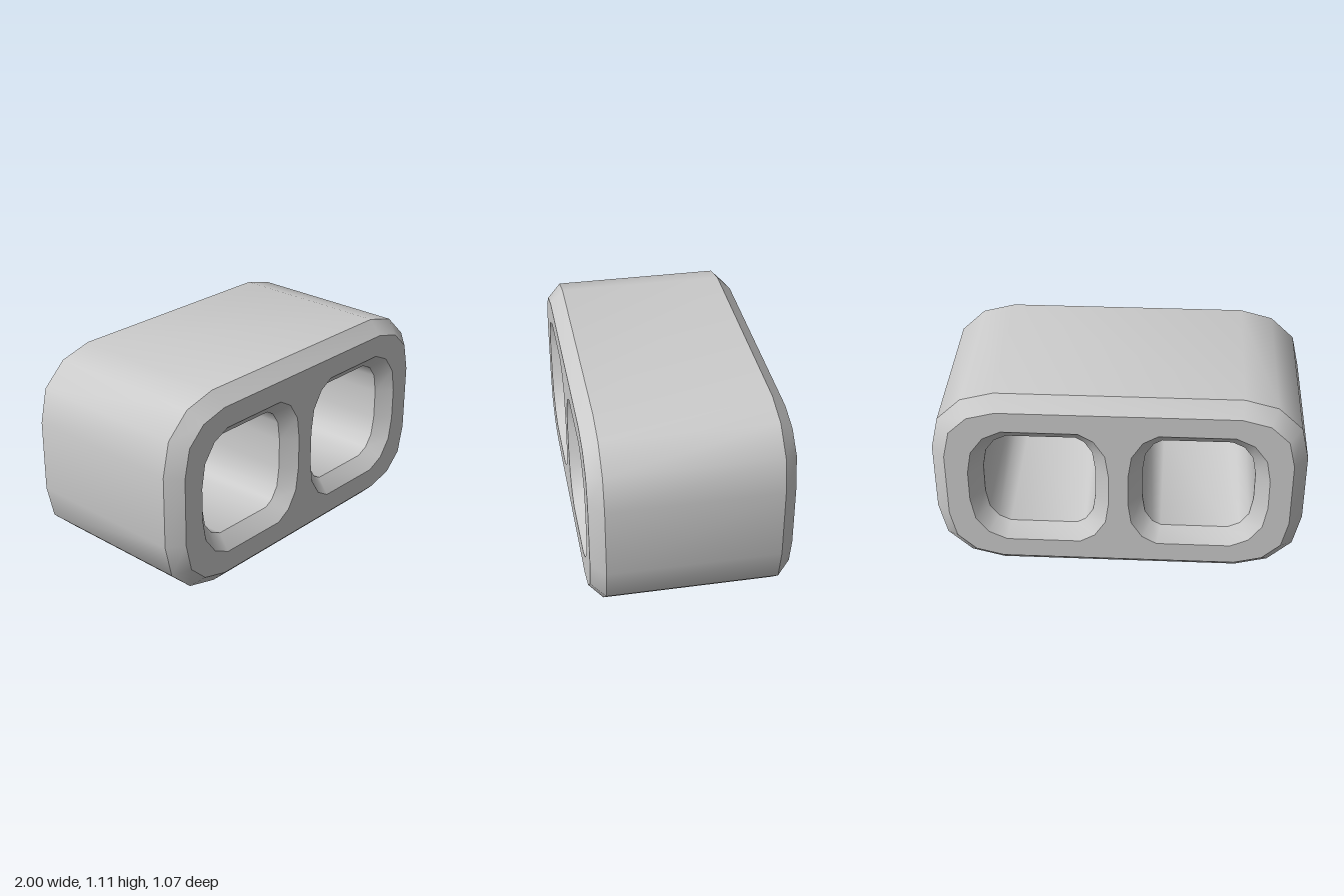
import * as THREE from 'three';
import { toCreasedNormals } from 'three/addons/utils/BufferGeometryUtils.js';

const CENTER_Y = 0.555;
const BEVEL = 0.075;
const DEPTH = 0.92;

// Mirrors an upper half outline (listed right to left) into a closed loop
function mirrorDown(upper) {
  const lower = upper.map(([x, y]) => [x, -y]).reverse();
  return [...upper, ...lower].map(([x, y]) => new THREE.Vector2(x, y + CENTER_Y));
}

export function createModel() {
  const group = new THREE.Group();
  group.name = 'twoHoleBlock';

  // Outer edge of the front face, heights measured from the middle
  const corner = [[0.925, 0.19], [0.89, 0.345], [0.79, 0.44], [0.64, 0.48]];
  const outline = [...corner, ...corner.map(([x, y]) => [-x, y]).reverse()];
  const shape = new THREE.Shape(mirrorDown(outline));

  // Rim of one opening; the other is its mirror image
  const rim = [
    [0.805, 0.09], [0.782, 0.22], [0.713, 0.315], [0.615, 0.362],
    [0.21, 0.362], [0.13, 0.315], [0.07, 0.22], [0.052, 0.09],
  ];
  for (const side of [1, -1]) {
    shape.holes.push(new THREE.Path(mirrorDown(rim.map(([x, y]) => [side * x, y]))));
  }

  // Block with chamfered outer edges and chamfered openings
  const block = new THREE.ExtrudeGeometry(shape, {
    depth: DEPTH,
    bevelEnabled: true,
    bevelSegments: 1,
    bevelSize: BEVEL,
    bevelThickness: BEVEL,
  });
  block.translate(0, 0, -DEPTH / 2);

  const body = new THREE.Mesh(
    toCreasedNormals(block, 0.65),
    new THREE.MeshStandardMaterial({ color: 0xcccccc }),
  );
  body.name = 'body';
  group.add(body);
  return group;
}
